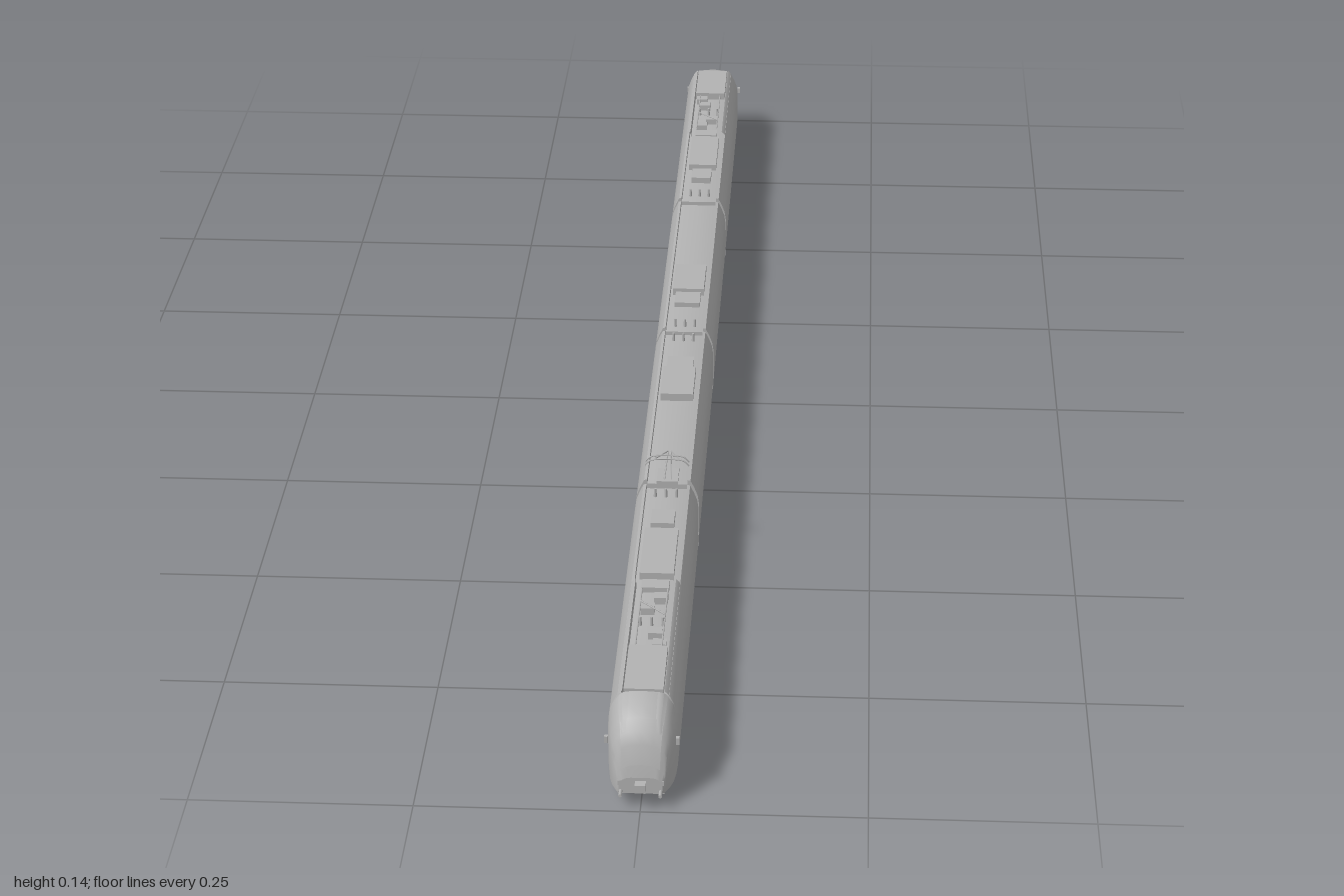
import * as THREE from 'three';
import { toCreasedNormals } from 'three/addons/utils/BufferGeometryUtils.js';

const grey = new THREE.MeshStandardMaterial({ color: 0xb2b2b2, side: THREE.DoubleSide });
grey.name = 'body grey';

// Half cross-sections, bottom to roof centre: closed roof and roof with an equipment well
const SIDE = [[0.033, 0.012], [0.038, 0.017], [0.039, 0.035], [0.039, 0.075], [0.0372, 0.087], [0.033, 0.098]];
const CLOSED = [...SIDE, [0.027, 0.108], [0.023, 0.1115], [0.018, 0.113], [0, 0.114]];
const WELL = [...SIDE, [0.0285, 0.107], [0.025, 0.108], [0.0245, 0.102], [0, 0.102]];
const ring = half => [...half, ...half.slice(0, -1).reverse().map(([x, y]) => [-x, y])];

function add(parent, name, geometry, x = 0, y = 0, z = 0) {
  const mesh = new THREE.Mesh(geometry, grey);
  mesh.name = name;
  mesh.position.set(x, y, z);
  parent.add(mesh);
  return mesh;
}
const box = (parent, name, w, h, d, x, y, z) => add(parent, name, new THREE.BoxGeometry(w, h, d), x, y, z);

function rod(parent, name, a, b, r) {
  const curve = new THREE.LineCurve3(new THREE.Vector3(...a), new THREE.Vector3(...b));
  return add(parent, name, new THREE.TubeGeometry(curve, 1, r, 6));
}

// Skin through a list of { z, points } stations
function loft(stations) {
  const n = stations[0].points.length, pos = [], index = [];
  stations.forEach(s => s.points.forEach(([x, y]) => pos.push(x, y, s.z)));
  for (let s = 0; s < stations.length - 1; s++) {
    for (let i = 0; i < n - 1; i++) {
      const a = s * n + i, c = a + n;
      index.push(a, a + 1, c, a + 1, c + 1, c);
    }
  }
  const g = new THREE.BufferGeometry();
  g.setAttribute('position', new THREE.Float32BufferAttribute(pos, 3));
  g.setIndex(index);
  return toCreasedNormals(g, 0.5);
}

function endWall(parent, station) {
  const shape = new THREE.Shape(station.points.map(([x, y]) => new THREE.Vector2(x, y)));
  return add(parent, 'endWall', new THREE.ShapeGeometry(shape), 0, 0, station.z);
}

// Nose stations: z, roof height, half width, bottom height
const NOSE = [[0.93, 0.112, 0.039, 0.012], [0.948, 0.106, 0.038, 0.012], [0.962, 0.098, 0.036, 0.012],
  [0.973, 0.087, 0.033, 0.013], [0.98, 0.074, 0.030, 0.014], [0.986, 0.052, 0.027, 0.015], [0.989, 0.037, 0.024, 0.017]];

function noseStation([z, top, w, bottom]) {
  const points = ring(CLOSED).map(([x, y]) =>
    [x * w / 0.039, bottom + (y - 0.012) / 0.102 * (top - bottom)]);
  return { z, points };
}

function wheelset(parent, z) {
  for (const x of [-0.022, 0.022]) {
    add(parent, 'wheel', new THREE.CylinderGeometry(0.012, 0.012, 0.003, 20).rotateZ(Math.PI / 2), x, 0.012, z);
  }
  add(parent, 'axle', new THREE.CylinderGeometry(0.002, 0.002, 0.044, 8).rotateZ(Math.PI / 2), 0, 0.012, z);
}

// Two-axle bogie with tapered side fairings
function bogie(parent, z) {
  const g = new THREE.Group();
  g.name = 'bogie';
  g.position.z = z;
  parent.add(g);
  wheelset(g, -0.033);
  wheelset(g, 0.033);
  box(g, 'bogieBeam', 0.04, 0.008, 0.03, 0, 0.017, 0);
  const s = new THREE.Shape([[-0.06, 0.026], [-0.045, 0.007], [0.045, 0.007], [0.06, 0.026]]
    .map(p => new THREE.Vector2(...p)));
  for (const x of [-0.033, 0.03]) {
    add(g, 'bogieSideFrame', new THREE.ExtrudeGeometry(s, { depth: 0.003, bevelEnabled: false })
      .rotateY(Math.PI / 2), x, 0, 0);
  }
}

function insulators(parent, z, y) {
  for (const x of [-0.013, 0, 0.013]) {
    add(parent, 'insulator', new THREE.CylinderGeometry(0.0015, 0.002, 0.011, 8), x, y + 0.0055, z);
  }
}

function endCar(parent) {
  const car = new THREE.Group();
  car.name = 'endCar';
  parent.add(car);
  const well = ring(WELL);
  const start = { z: 0.439, points: well };
  const stations = [start, { z: 0.929, points: well }, ...NOSE.map(noseStation)];
  add(car, 'bodyShell', loft(stations));
  endWall(car, start);
  endWall(car, stations[stations.length - 1]);
  // Raised shoulders beside the equipment on the forward roof
  for (const s of [-1, 1]) {
    const shoulder = [[0.0295, 0.105], [0.027, 0.109], [0.0235, 0.112], [0.0225, 0.102]].map(([x, y]) => [x * s, y]);
    add(car, 'roofShoulder', loft([{ z: 0.68, points: shoulder }, { z: 0.93, points: shoulder }]));
  }

  // Windscreen panel following the nose
  const screen = NOSE.slice(0, 6).map(([z, top], i) => {
    const w = 0.026 - i * 0.001, y = top + 0.0005;
    return { z: z + 0.0012, points: [[w, y - 0.006], [w * 0.6, y - 0.0015], [0, y], [-w * 0.6, y - 0.0015], [-w, y - 0.006]] };
  });
  add(car, 'windscreen', loft(screen));

  // Nose fittings: coupler, buffers, lamps, mirrors
  box(car, 'coupler', 0.012, 0.01, 0.03, 0, 0.028, 0.984);
  box(car, 'noseApron', 0.052, 0.008, 0.03, 0, 0.015, 0.965);
  for (const s of [-1, 1]) {
    box(car, 'headlamp', 0.007, 0.006, 0.004, s * 0.022, 0.03, 0.987);
    add(car, 'buffer', new THREE.CylinderGeometry(0.002, 0.002, 0.022, 8).rotateX(Math.PI / 2), s * 0.022, 0.02, 0.989);
    box(car, 'mirror', 0.004, 0.008, 0.005, s * 0.0395, 0.068, 0.96);
    box(car, 'sill', 0.003, 0.006, 0.36, s * 0.024, 0.017, 0.64);
  }

  // Roof equipment
  box(car, 'roofUnit', 0.044, 0.01, 0.095, 0, 0.108, 0.88);
  box(car, 'roofUnit', 0.04, 0.01, 0.11, 0, 0.106, 0.61);
  box(car, 'roofBox', 0.028, 0.009, 0.035, 0, 0.106, 0.525);
  box(car, 'roofBox', 0.032, 0.007, 0.02, 0, 0.105, 0.685);
  [[0.82, 0.012], [0.795, 0.006], [0.74, -0.006], [0.715, 0.008]].forEach(([z, x]) =>
    box(car, 'switchgear', 0.016, 0.009, 0.014, x, 0.106, z));
  for (const x of [-0.015, 0.015]) rod(car, 'busbar', [x, 0.11, 0.7], [x, 0.11, 0.83], 0.001);
  rod(car, 'busbar', [-0.015, 0.111, 0.73], [0.015, 0.111, 0.76], 0.001);
  insulators(car, 0.77, 0.102);
  insulators(car, 0.46, 0.102);
  bogie(car, 0.885);
}

function middleCar(parent) {
  const car = new THREE.Group();
  car.name = 'middleCar';
  parent.add(car);
  const points = ring(WELL);
  const ends = [{ z: 0.005, points }, { z: 0.427, points }];
  add(car, 'bodyShell', loft(ends));
  ends.forEach(e => endWall(car, e));
  box(car, 'floor', 0.056, 0.004, 0.36, 0, 0.017, 0.216);
  box(car, 'roofUnit', 0.042, 0.01, 0.08, 0, 0.107, 0.16);
  box(car, 'roofBox', 0.034, 0.007, 0.035, 0, 0.105, 0.1);
  insulators(car, 0.022, 0.102);
}

// Raised single-arm current collector
function pantograph(parent) {
  const g = new THREE.Group();
  g.name = 'pantograph';
  parent.add(g);
  box(g, 'pantographBase', 0.026, 0.004, 0.035, 0, 0.105, 0.412);
  for (const s of [-1, 1]) {
    rod(g, 'lowerArm', [s * 0.004, 0.106, 0.425], [s * 0.002, 0.121, 0.376], 0.001);
    rod(g, 'upperArm', [s * 0.002, 0.121, 0.376], [s * 0.014, 0.138, 0.428], 0.0008);
  }
  for (const z of [0.423, 0.433]) {
    const head = new THREE.CatmullRomCurve3([[-0.027, 0.131], [-0.021, 0.137], [-0.014, 0.139], [0.014, 0.139],
      [0.021, 0.137], [0.027, 0.131]].map(([x, y]) => new THREE.Vector3(x, y, z)));
    add(g, 'contactStrip', new THREE.TubeGeometry(head, 20, 0.0009, 6));
  }
}

export function createModel() {
  const train = new THREE.Group();
  train.name = 'train';
  // Two identical halves, back to back
  for (const turn of [0, Math.PI]) {
    const half = new THREE.Group();
    half.name = turn ? 'rearHalf' : 'frontHalf';
    half.rotation.y = turn;
    train.add(half);
    endCar(half);
    middleCar(half);
  }
  // Gangways and shared bogies at the joints
  for (const z of [-0.433, 0, 0.433]) {
    box(train, 'gangway', 0.066, 0.07, 0.014, 0, 0.055, z);
    for (const s of [-1, 1]) box(train, 'damper', 0.006, 0.012, 0.016, s * 0.036, 0.03, z);
    bogie(train, z);
  }
  pantograph(train);
  return train;
}
